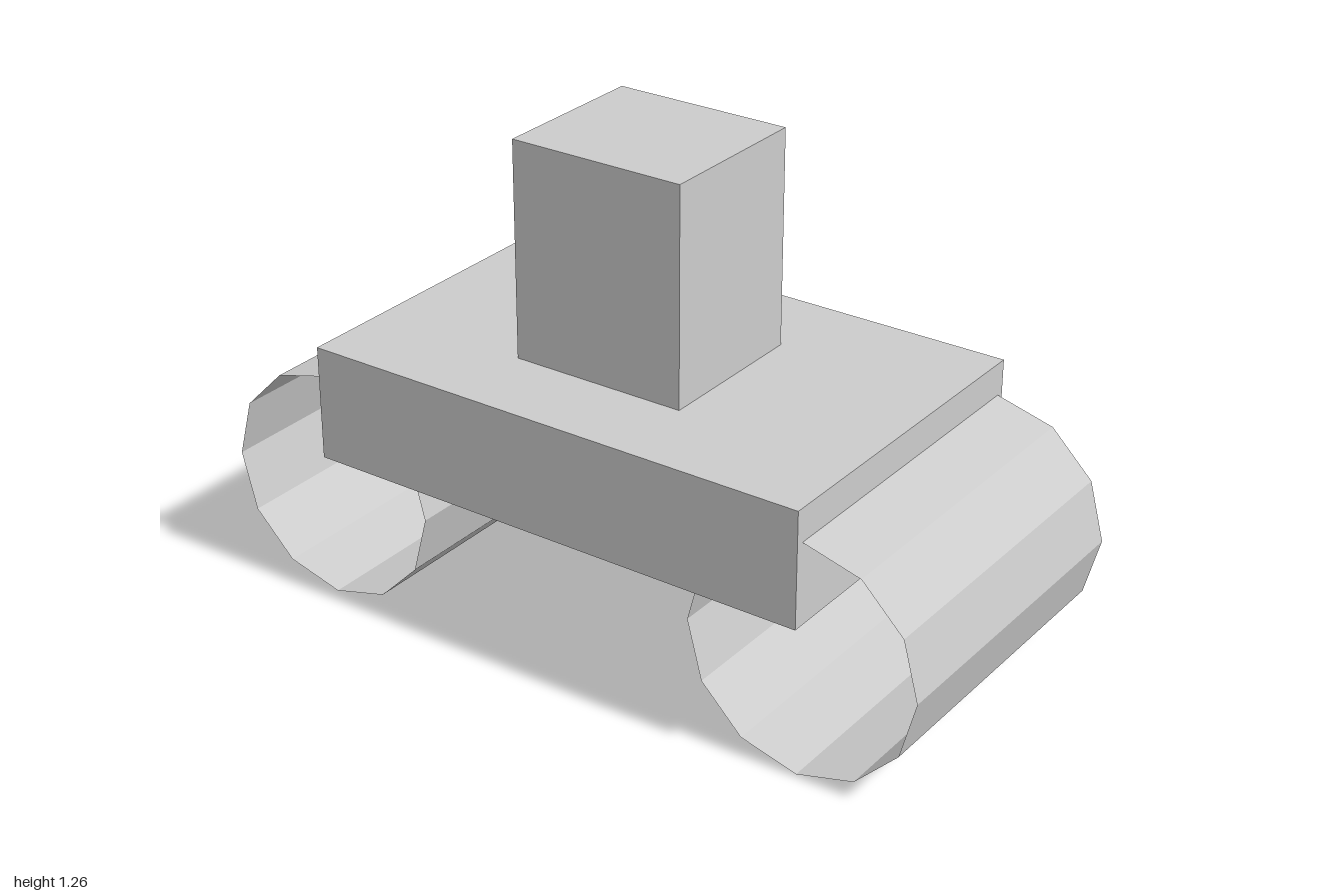
import * as THREE from 'three';

export function createModel() {
  const group = new THREE.Group();

  const grey = new THREE.MeshStandardMaterial({ color: 0xcccccc, flatShading: true, side: THREE.DoubleSide });
  grey.name = 'plain grey';

  const add = (name, geometry, x, y, z) => {
    const mesh = new THREE.Mesh(geometry, grey);
    mesh.name = name;
    mesh.position.set(x, y, z);
    group.add(mesh);
  };

  // Flat body slab and the upright block standing on it
  add('body', new THREE.BoxGeometry(0.91, 0.302, 1.39), 0, 0.546, 0);
  add('tower', new THREE.BoxGeometry(0.43, 0.565, 0.475), -0.002, 0.9795, -0.025);

  // Open twelve-sided rollers, lying across the front and back edges
  const roller = new THREE.CylinderGeometry(0.305, 0.305, 0.87, 12, 1, true).rotateZ(Math.PI / 2);
  add('frontRoller', roller, 0, 0.305, 0.695);
  add('backRoller', roller, 0, 0.305, -0.695);

  return group;
}
